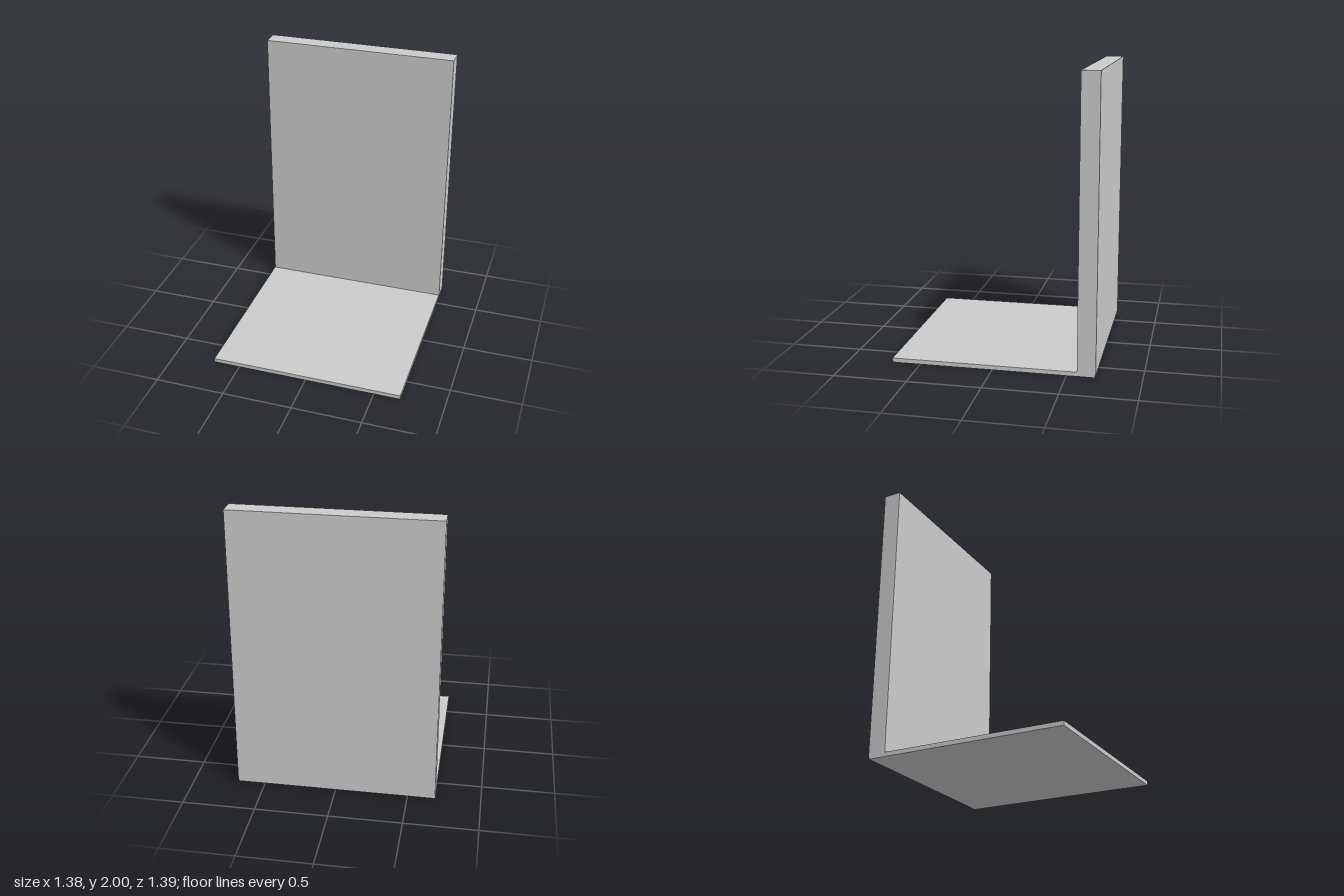
import * as THREE from 'three';

// Box given by its lowest and highest corners
function slab(name, min, max, material) {
  const size = max.map((v, i) => v - min[i]);
  const mesh = new THREE.Mesh(new THREE.BoxGeometry(...size), material);
  mesh.position.set(...max.map((v, i) => (v + min[i]) / 2));
  mesh.name = name;
  return mesh;
}

export function createModel() {
  const group = new THREE.Group();
  group.name = 'uprightStand';
  const grey = new THREE.MeshStandardMaterial({ color: 0xcccccc, flatShading: true });

  // Thin plate lying on the ground
  group.add(slab('basePlate', [-0.691, 0, -0.69], [0.689, 0.03, 0.695], grey));

  // Thick upright panel, sunk slightly into the plate and overhanging its rear edge
  group.add(slab('backPanel', [-0.689, 0.018, -0.695], [0.691, 2, -0.57], grey));

  return group;
}
